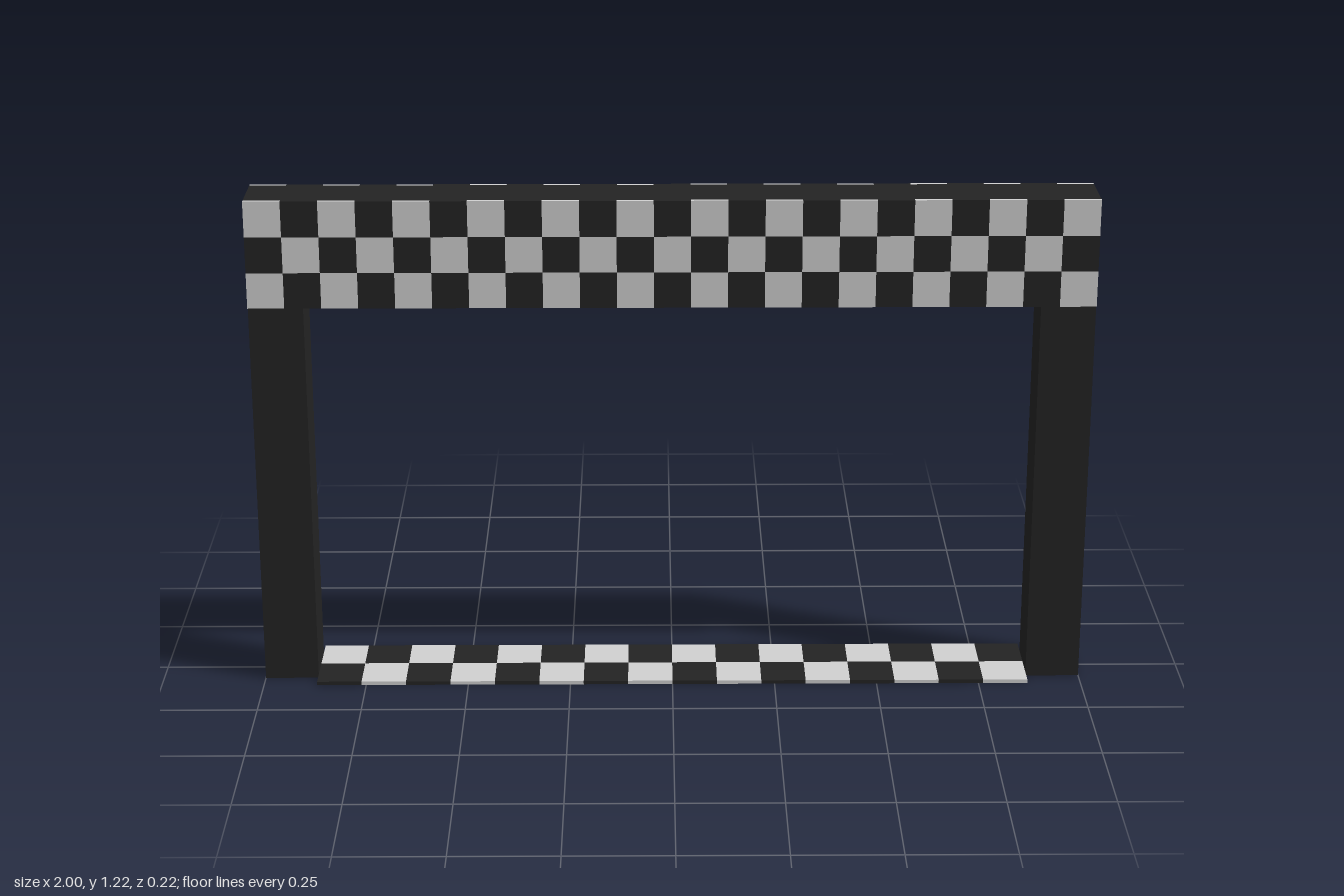
import * as THREE from 'three';

export function createModel() {
  const black = new THREE.MeshStandardMaterial({ color: 0x232323 });
  black.name = 'black';
  const white = new THREE.MeshStandardMaterial({ color: 0xd0d0d0 });
  white.name = 'white';

  const group = new THREE.Group();
  group.name = 'finishArch';

  const POST = 0.13;          // post width and depth
  const HEIGHT = 1.217;
  const CELL = 2 / 23;        // banner square
  const BANNER = CELL * 3;    // banner height
  const PLATE = 0.009;        // plate thickness
  const SPAN = 2 - 2 * POST;  // opening between the posts

  function box(name, material, w, h, d, x, y, z, parent = group) {
    const mesh = new THREE.Mesh(new THREE.BoxGeometry(w, h, d), material);
    mesh.name = name;
    mesh.position.set(x, y, z);
    parent.add(mesh);
  }

  // Posts and crossbeam
  for (const s of [1, -1]) {
    box(s > 0 ? 'leftPost' : 'rightPost', black, POST, HEIGHT, POST, s * (1 - POST / 2), HEIGHT / 2, 0);
  }
  box('crossbeam', black, SPAN, BANNER, POST, 0, HEIGHT - BANNER / 2, 0);

  // Checkered banners on the front and back of the crossbeam
  for (const s of [1, -1]) {
    const banner = new THREE.Group();
    banner.name = s > 0 ? 'frontBanner' : 'backBanner';
    group.add(banner);
    for (let row = 0; row < 3; row++) {
      for (let col = 0; col < 23; col++) {
        box('bannerSquare', (row + col) % 2 ? black : white, CELL, CELL, PLATE,
          -1 + (col + 0.5) * CELL, HEIGHT - (row + 0.5) * CELL, s * (POST + PLATE) / 2, banner);
      }
    }
  }

  // Checkered line on the ground, back row first
  const line = new THREE.Group();
  line.name = 'groundLine';
  group.add(line);
  const tile = SPAN / 16;
  for (let row = 0; row < 2; row++) {
    for (let col = 0; col < 16; col++) {
      box('groundTile', (row + col) % 2 ? black : white, tile, PLATE, tile,
        -SPAN / 2 + (col + 0.5) * tile, PLATE / 2, (row - 0.5) * tile, line);
    }
  }

  return group;
}
